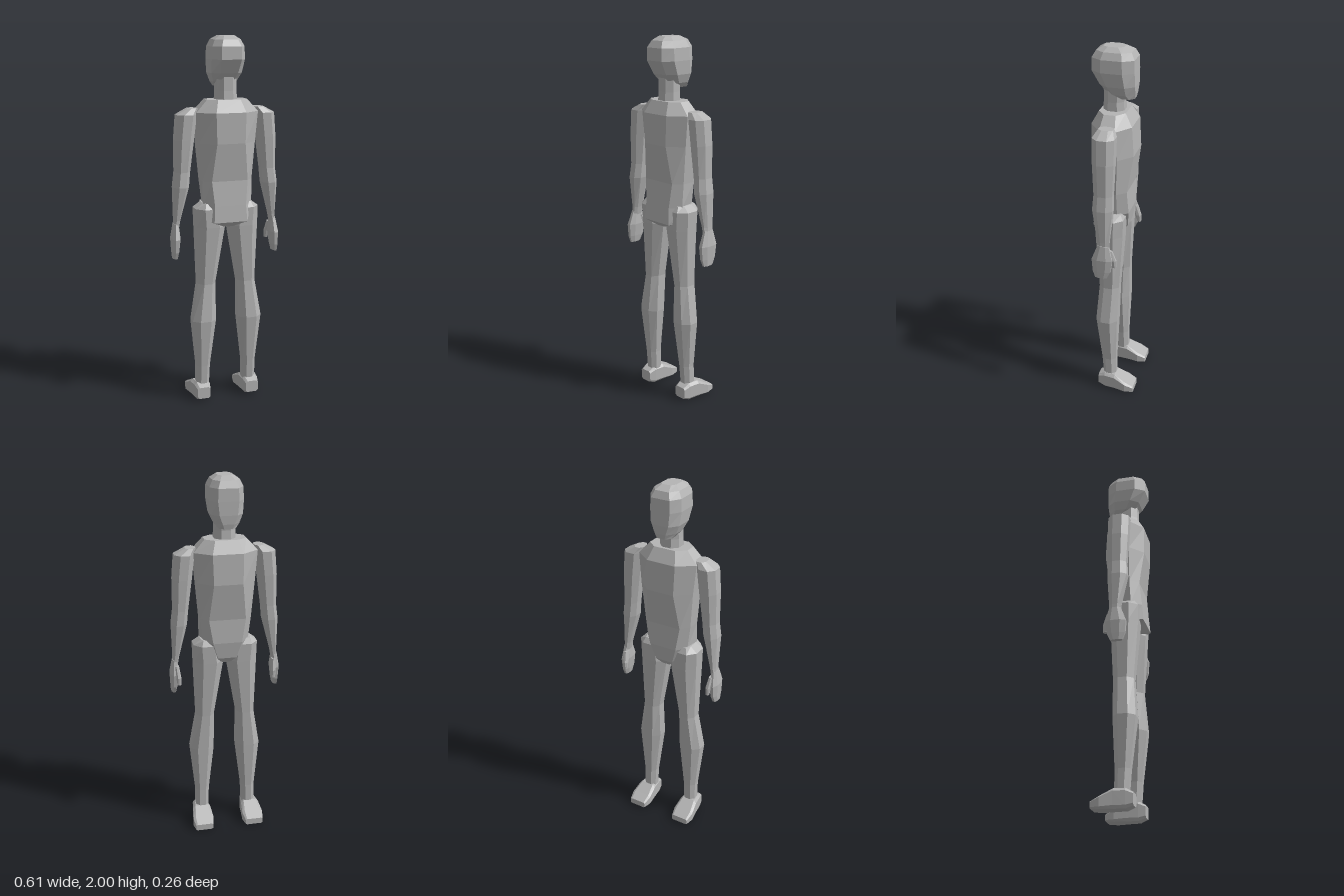
import * as THREE from 'three';

const grey = new THREE.MeshStandardMaterial({ color: 0xb4b4b4, flatShading: true });
grey.name = 'plain grey';

// Octagonal loft. Each ring: [height, x0, x1, z0, z1, cut in x, cut in z, width scale at z0]
function loft(name, rings, side = 1) {
  const loops = rings.map(([y, xa, xb, z0, z1, cx = 0.27, cz = 0.28, narrow = 1]) => {
    const [x0, x1] = side > 0 ? [xa, xb] : [-xb, -xa];
    const dx = (x1 - x0) * cx, dz = (z1 - z0) * cz, mid = (x0 + x1) / 2;
    const slim = (x) => mid + (x - mid) * narrow;
    return [
      [x1, y, z1 - dz], [slim(x1), y, z0 + dz], [slim(x1 - dx), y, z0], [slim(x0 + dx), y, z0],
      [slim(x0), y, z0 + dz], [x0, y, z1 - dz], [x0 + dx, y, z1], [x1 - dx, y, z1],
    ];
  });
  const pos = [];
  const tri = (a, b, c) => pos.push(...a, ...b, ...c);
  for (let r = 0; r + 1 < loops.length; r++) {
    for (let i = 0; i < 8; i++) {
      const j = (i + 1) % 8, lo = loops[r], hi = loops[r + 1];
      tri(lo[i], lo[j], hi[j]);
      tri(lo[i], hi[j], hi[i]);
    }
  }
  const first = loops[0], last = loops[loops.length - 1];
  for (let i = 1; i < 7; i++) {
    tri(first[0], first[i + 1], first[i]);
    tri(last[0], last[i], last[i + 1]);
  }
  const geo = new THREE.BufferGeometry();
  geo.setAttribute('position', new THREE.Float32BufferAttribute(pos, 3));
  geo.computeVertexNormals();
  const mesh = new THREE.Mesh(geo, grey);
  mesh.name = name;
  return mesh;
}

export function createModel() {
  const figure = new THREE.Group();
  figure.name = 'figure';

  // Head, with the face towards -z and the back of the skull sloping to the neck
  figure.add(loft('head', [
    [1.74, -0.045, 0.045, -0.085, 0.0],
    [1.765, -0.065, 0.065, -0.09, 0.055],
    [1.81, -0.083, 0.083, -0.093, 0.09, 0.22, 0.25],
    [1.88, -0.09, 0.09, -0.092, 0.128, 0.2, 0.25],
    [1.945, -0.087, 0.087, -0.09, 0.128, 0.2, 0.25],
    [1.98, -0.07, 0.07, -0.073, 0.108, 0.22, 0.25],
    [2.0, -0.04, 0.04, -0.03, 0.075, 0.2, 0.25],
  ]));

  figure.add(loft('neck', [
    [1.64, -0.058, 0.058, -0.035, 0.08],
    [1.72, -0.054, 0.054, -0.03, 0.075],
    [1.82, -0.054, 0.054, -0.04, 0.075],
  ]));

  // Chest, waist and pelvis
  figure.add(loft('torso', [
    [1.0, -0.045, 0.045, -0.04, 0.085],
    [1.03, -0.115, 0.115, -0.06, 0.12, 0.1, 0.28, 0.55],
    [1.12, -0.135, 0.135, -0.072, 0.112, 0.18, 0.28, 0.9],
    [1.25, -0.138, 0.138, -0.067, 0.1, 0.14, 0.28],
    [1.45, -0.155, 0.155, -0.097, 0.125, 0.25, 0.31],
    [1.61, -0.17, 0.17, -0.088, 0.125, 0.26, 0.31],
    [1.675, -0.11, 0.11, -0.05, 0.09, 0.22, 0.28],
  ]));

  for (const side of [1, -1]) {
    const label = side > 0 ? 'left' : 'right';

    // Arm from wrist to shoulder
    figure.add(loft(label + 'Arm', [
      [0.99, 0.262, 0.288, -0.02, 0.04],
      [1.04, 0.253, 0.287, -0.022, 0.042],
      [1.22, 0.208, 0.29, -0.036, 0.07],
      [1.3, 0.2, 0.28, -0.034, 0.064],
      [1.47, 0.178, 0.279, -0.04, 0.072],
      [1.6, 0.162, 0.268, -0.041, 0.075],
      [1.632, 0.155, 0.21, -0.022, 0.055],
    ], side));

    // Hand and thumb
    figure.add(loft(label + 'Hand', [
      [0.832, 0.272, 0.298, -0.012, 0.052],
      [0.87, 0.265, 0.3, -0.03, 0.065],
      [0.94, 0.257, 0.303, -0.04, 0.07],
      [1.02, 0.263, 0.29, -0.02, 0.04],
    ], side));
    figure.add(loft(label + 'Thumb', [
      [0.89, 0.252, 0.272, -0.055, -0.035],
      [0.93, 0.25, 0.276, -0.056, -0.022],
      [0.99, 0.258, 0.28, -0.035, 0.005],
    ], side));

    // Leg from ankle to hip
    figure.add(loft(label + 'Leg', [
      [0.07, 0.1, 0.172, -0.022, 0.05],
      [0.2, 0.096, 0.172, -0.02, 0.06],
      [0.47, 0.065, 0.198, -0.03, 0.09],
      [0.68, 0.065, 0.163, -0.035, 0.075],
      [1.0, 0.012, 0.172, -0.053, 0.098],
      [1.1, 0.03, 0.175, -0.057, 0.1],
      [1.13, 0.1, 0.135, -0.04, 0.08],
    ], side));

    // Foot, lofted from heel to toe and then laid forward
    const foot = loft(label + 'Foot', [
      [-0.078, 0.105, 0.178, 0.015, 0.08, 0.15, 0.15],
      [-0.04, 0.098, 0.186, 0.0, 0.1, 0.15, 0.15],
      [0.02, 0.092, 0.194, 0.0, 0.1, 0.15, 0.15],
      [0.085, 0.086, 0.204, 0.0, 0.065, 0.12, 0.15],
      [0.132, 0.096, 0.195, 0.005, 0.04, 0.08, 0.15],
    ], side);
    foot.geometry.rotateX(-Math.PI / 2);
    figure.add(foot);
  }
  return figure;
}
